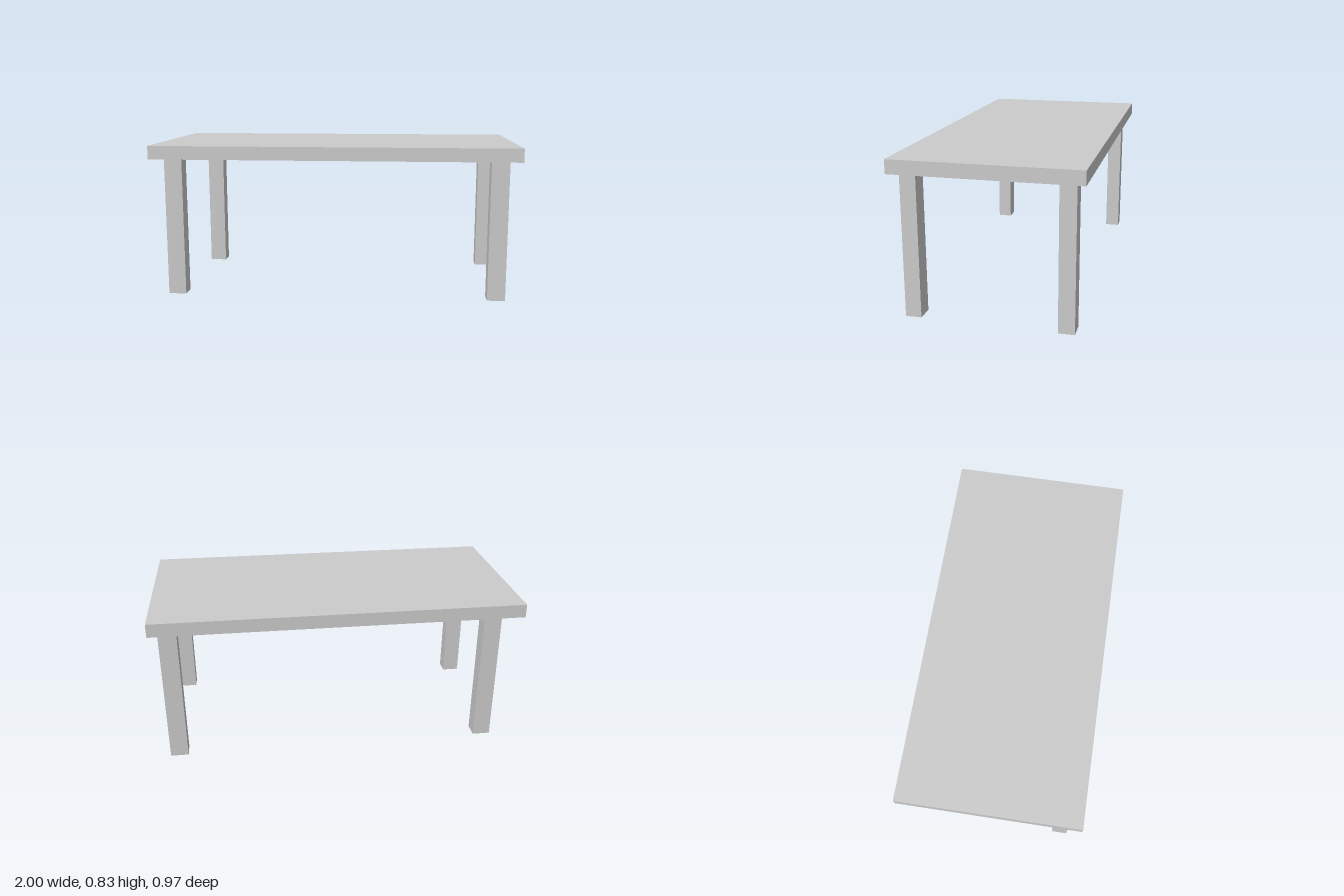
import * as THREE from 'three';

const TOP_Y = 0.833;
const UNDER_Y = 0.76;

export function createModel() {
  const table = new THREE.Group();
  table.name = 'table';
  const material = new THREE.MeshStandardMaterial({ color: 0xcccccc, flatShading: true });

  const addBox = (name, width, height, depth, x, y, z) => {
    const mesh = new THREE.Mesh(new THREE.BoxGeometry(width, height, depth), material);
    mesh.name = name;
    mesh.position.set(x, y, z);
    table.add(mesh);
  };

  // Slab top
  addBox('tableTop', 2, TOP_Y - UNDER_Y, 0.97, 0, (TOP_Y + UNDER_Y) / 2, 0);

  // Four square-cut legs, set slightly unevenly under the top
  const legs = [
    ['frontLeftLeg', 0.889, 0.399],
    ['frontRightLeg', -0.877, 0.399],
    ['backLeftLeg', 0.904, -0.395],
    ['backRightLeg', -0.839, -0.395],
  ];
  for (const [name, x, z] of legs) addBox(name, 0.097, UNDER_Y, 0.084, x, UNDER_Y / 2, z);

  return table;
}
